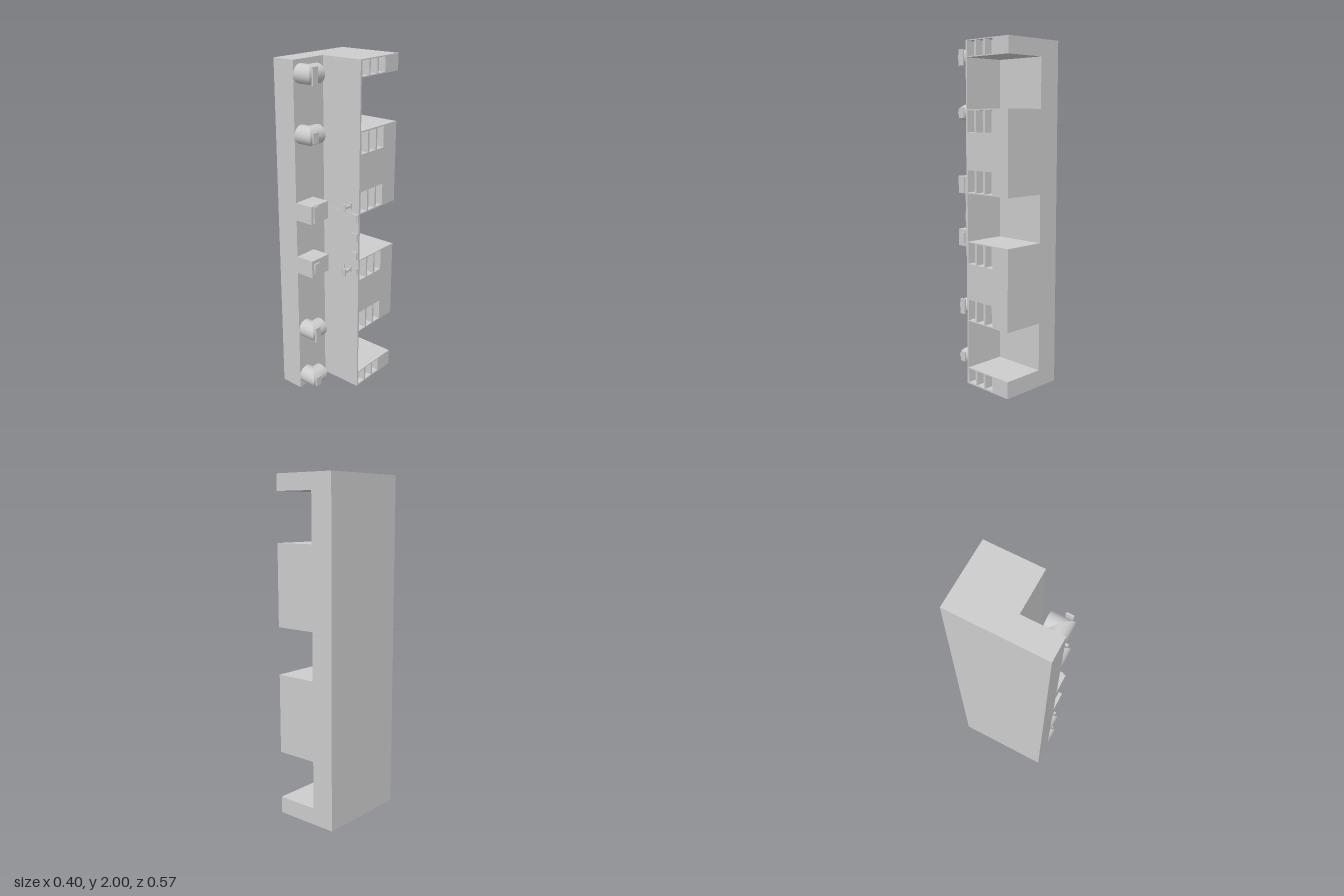
import * as THREE from 'three';

const material = new THREE.MeshStandardMaterial({ color: 0xcccccc });

function add(parent, name, geometry) {
  const mesh = new THREE.Mesh(geometry, material);
  mesh.name = name;
  parent.add(mesh);
  return mesh;
}

// Box given by its limits on each axis
function box(parent, name, [x0, x1], [y0, y1], [z0, z1]) {
  const mesh = add(parent, name, new THREE.BoxGeometry(x1 - x0, y1 - y0, z1 - z0));
  mesh.position.set((x0 + x1) / 2, (y0 + y1) / 2, (z0 + z1) / 2);
  return mesh;
}

function rectangle(path, x0, x1, y0, y1) {
  path.moveTo(x0, y0);
  path.lineTo(x1, y0);
  path.lineTo(x1, y1);
  path.lineTo(x0, y1);
  path.closePath();
  return path;
}

const X_WALL = -0.06, X_SIDE = 0.2, Z_BACK = -0.285, Z_PANEL = 0.04;
const POCKET_DEPTH = 0.05;

// Solid block whose side face carries rows of three pockets
function sideBlock(parent, y0, y1, pocketRows) {
  const group = new THREE.Group();
  group.name = 'sideBlock';
  parent.add(group);
  box(group, 'blockCore', [X_WALL, X_SIDE - POCKET_DEPTH], [y0, y1], [Z_BACK, Z_PANEL]);
  const face = rectangle(new THREE.Shape(), -Z_PANEL, -Z_BACK, y0, y1);
  for (const [p0, p1] of pocketRows) {
    for (let i = 0; i < 3; i++) {
      const u = -0.036 + i * 0.071;
      face.holes.push(rectangle(new THREE.Path(), u, u + 0.059, p0, p1));
    }
  }
  const geometry = new THREE.ExtrudeGeometry(face, { depth: POCKET_DEPTH, bevelEnabled: false });
  geometry.rotateY(Math.PI / 2);
  add(group, 'pocketFace', geometry).position.x = X_SIDE - POCKET_DEPTH;
}

// Cylinder along y from -length to 0, with its top cut at 45 degrees
function mitredPipe(radius, length) {
  const geometry = new THREE.CylinderGeometry(radius, radius, length, 40);
  geometry.translate(0, -length / 2, 0);
  const p = geometry.attributes.position;
  for (let i = 0; i < p.count; i++) {
    if (p.getY(i) > -1e-6) p.setY(i, p.getX(i));
  }
  // Keep the smooth sides, refresh the sloping cap
  const n = geometry.attributes.normal;
  for (let i = 0; i < n.count; i++) {
    if (n.getY(i) > 0.9) n.setXYZ(i, -Math.SQRT1_2, Math.SQRT1_2, 0);
  }
  return geometry;
}

// Elbow leaving the wall along +x and turning towards the back
function elbow(parent, y) {
  const group = new THREE.Group();
  group.name = 'pipeElbow';
  const r = 0.053;
  const inlet = mitredPipe(r, 0.06);
  inlet.applyMatrix4(new THREE.Matrix4().makeBasis(
    new THREE.Vector3(0, 0, 1), new THREE.Vector3(1, 0, 0), new THREE.Vector3(0, 1, 0)));
  add(group, 'elbowInlet', inlet);
  const outlet = mitredPipe(r, 0.07);
  outlet.applyMatrix4(new THREE.Matrix4().makeBasis(
    new THREE.Vector3(1, 0, 0), new THREE.Vector3(0, 0, 1), new THREE.Vector3(0, -1, 0)));
  add(group, 'elbowOutlet', outlet);
  group.position.set(0, y, 0.232);
  parent.add(group);
}

// T-shaped handle on a round foot
function handle(parent, y) {
  const group = new THREE.Group();
  group.name = 'handle';
  box(group, 'handleStem', [-0.007, 0.007], [-0.007, 0.007], [0.05, 0.107]);
  add(group, 'handleGrip', new THREE.CylinderGeometry(0.009, 0.009, 0.044, 20)).position.z = 0.107;
  box(group, 'handleFoot', [-0.008, 0.008], [-0.018, 0.018], [0.05, 0.059]);
  group.position.set(0.142, y, 0);
  parent.add(group);
}

export function createModel() {
  const model = new THREE.Group();
  model.name = 'cabinet';

  // Tall wall and thin front panel
  box(model, 'sideWall', [-0.2, X_WALL], [0, 2], [Z_BACK, 0.285]);
  box(model, 'frontPanel', [X_WALL, X_SIDE], [0, 2], [Z_PANEL, 0.05]);

  // Blocks separated by open bays
  sideBlock(model, 0, 0.1, [[0.01, 0.094]]);
  sideBlock(model, 0.385, 0.86, [[0.391, 0.515], [0.73, 0.854]]);
  sideBlock(model, 1.14, 1.62, [[1.148, 1.274], [1.49, 1.612]]);
  sideBlock(model, 1.905, 2, [[1.911, 1.994]]);

  // Ports on the wall, each with a plain label plate
  for (const y of [0.08, 0.405, 1.6, 1.925]) elbow(model, y);
  for (const y of [0.84, 1.167]) {
    box(model, 'squarePort', [X_WALL, 0.053], [y - 0.052, y + 0.052], [0.145, 0.285]);
  }
  const plates = [[0.08, 0.03], [0.405, 0.048], [0.84, 0.03], [1.167, 0.048], [1.6, 0.03], [1.925, 0.048]];
  for (const [y, half] of plates) {
    box(model, 'labelPlate', [0.052, 0.062], [y - half, y + half], [0.228, 0.268]);
  }

  // Small door with latches and handles
  box(model, 'door', [-0.01, X_SIDE], [0.86, 1.145], [0.05, 0.054]);
  for (const y of [0.89, 1.005, 1.12]) {
    box(model, 'latch', [0.156, X_SIDE], [y - 0.025, y + 0.025], [0.054, 0.06]);
    box(model, 'latchFace', [0.161, 0.196], [y - 0.02, y + 0.02], [0.06, 0.065]);
  }
  handle(model, 1.185);
  handle(model, 0.79);
  for (const x of [0.095, 0.19]) {
    box(model, 'stopPin', [x - 0.005, x + 0.005], [0.772, 0.81], [0.05, 0.06]);
  }
  return model;
}
